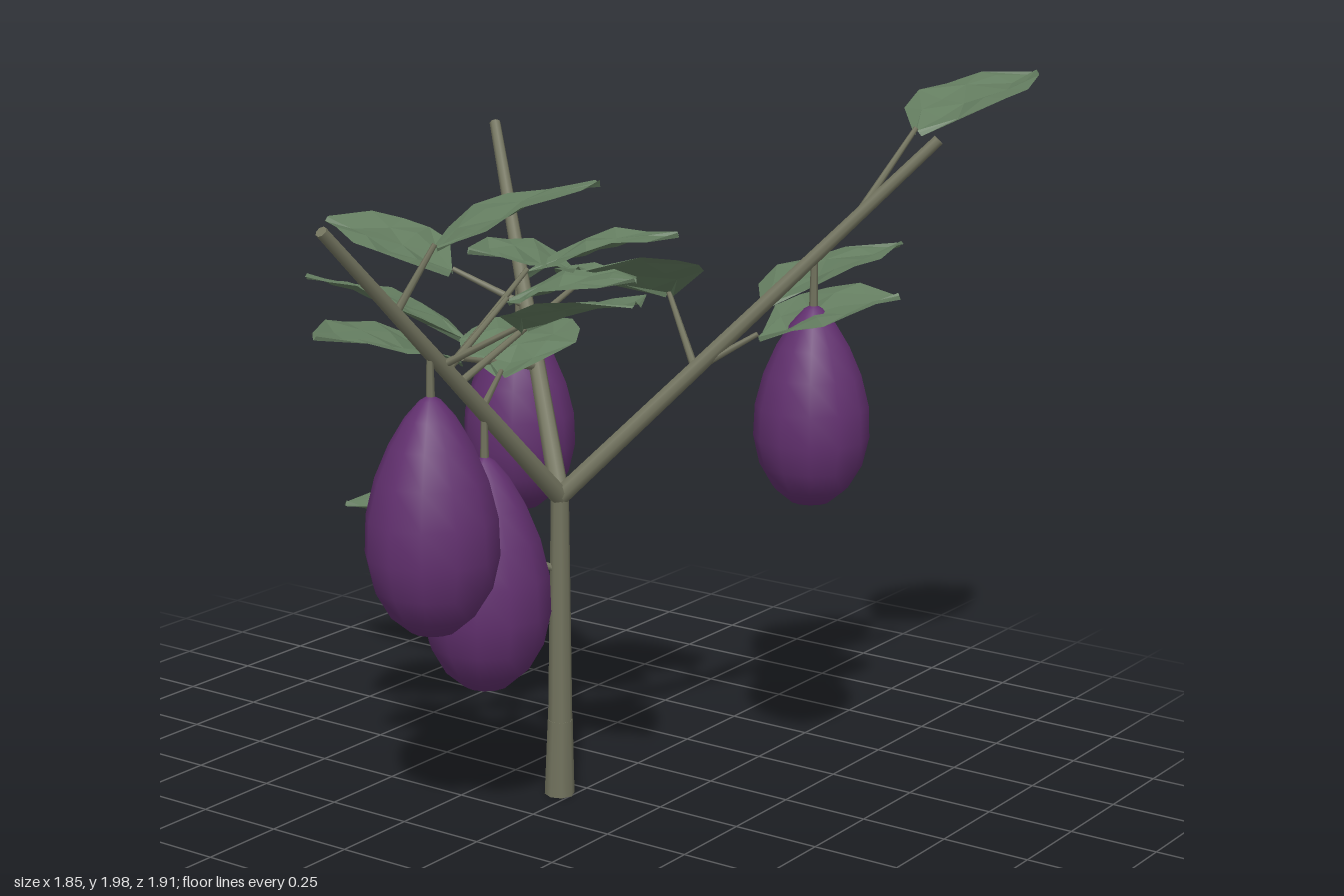
import * as THREE from 'three';

const V = (p) => new THREE.Vector3(...p);
const wood = new THREE.MeshStandardMaterial({ color: 0x73745f });
const fruitSkin = new THREE.MeshStandardMaterial({ color: 0x62306f });
const leafGreen = new THREE.MeshStandardMaterial({ color: 0x647d60, flatShading: true, side: THREE.DoubleSide });

// Tapered round stick between two points
function stick(name, a, b, r0, r1, sides = 8) {
  const d = b.clone().sub(a);
  const mesh = new THREE.Mesh(new THREE.CylinderGeometry(r1, r0, d.length(), sides), wood);
  mesh.position.copy(a).lerp(b, 0.5);
  mesh.quaternion.setFromUnitVectors(new THREE.Vector3(0, 1, 0), d.normalize());
  mesh.name = name;
  return mesh;
}

// Broad ovate blade: rows of five points from base to tip, slightly folded and rippled.
// tilt is the rise towards the right-hand edge, looking from base to tip.
function leafBlade(a, tip, tilt, width) {
  const rows = 5, pos = [], idx = [];
  const along = tip.clone().sub(a);
  const side = new THREE.Vector3(-along.z, 0, along.x).normalize().setY(tilt).normalize();
  const normal = side.clone().cross(along).normalize();
  for (let i = 0; i <= rows; i++) {
    const t = i / rows;
    const w = 0.08 + 0.92 * Math.pow(Math.abs(Math.sin(Math.PI * Math.pow(t, 0.85))), 0.7);
    for (let j = -2; j <= 2; j++) {
      const s = j / 2;
      const ripple = 0.009 * Math.sin(i * 2.3 + j * 1.7 + a.x * 20);
      const lift = 0.02 * Math.abs(s) * w + ripple + 0.02 * Math.sin(t * Math.PI) - 0.015;
      pos.push(...a.clone().addScaledVector(along, t)
        .addScaledVector(side, s * w * width / 2)
        .addScaledVector(normal, lift).toArray());
      if (i === rows || j === 2) continue;
      const k = i * 5 + j + 2;
      if ((i + j) % 2) idx.push(k, k + 1, k + 5, k + 1, k + 6, k + 5);
      else idx.push(k, k + 1, k + 6, k, k + 6, k + 5);
    }
  }
  const geo = new THREE.BufferGeometry();
  geo.setAttribute('position', new THREE.Float32BufferAttribute(pos, 3));
  geo.setIndex(idx);
  geo.computeVertexNormals();
  const mesh = new THREE.Mesh(geo, leafGreen);
  mesh.name = 'leafBlade';
  return mesh;
}

// Blade on a thin twig
function leaf(start, base, tip, tilt, width = 0.34) {
  const g = new THREE.Group();
  g.name = 'leaf';
  g.add(stick('leafTwig', start, V(base), 0.011, 0.007, 6), leafBlade(V(base), V(tip), tilt, width));
  return g;
}

// Plump teardrop hanging straight down from a point on a branch
function fruit(from, drop, length, radius) {
  const g = new THREE.Group();
  g.name = 'hangingFruit';
  const profile = [];
  for (let i = 0; i <= 10; i++) {
    const u = (1 - Math.cos(Math.PI * i / 10)) / 2;
    const r = Math.pow(Math.abs(Math.sin(Math.PI * Math.pow(u, 0.75))), 0.65);
    profile.push(new THREE.Vector2(r * radius, u * length));
  }
  const body = new THREE.Mesh(new THREE.LatheGeometry(profile, 12), fruitSkin);
  body.position.copy(from);
  body.position.y -= drop + length;
  body.name = 'fruitBody';
  const top = from.clone();
  top.y -= drop + 0.02;
  g.add(body, stick('fruitStalk', top, from, 0.012, 0.009, 6));
  return g;
}

// Branch from the fork; its fruits and leaves start at a fraction of its length
function branch(fork, tip, fruits, leaves) {
  const g = new THREE.Group();
  g.name = 'branch';
  const end = V(tip);
  const at = (t) => fork.clone().lerp(end, t);
  g.add(stick('branchStem', fork, end, 0.027, 0.016));
  fruits.forEach(([t, ...size]) => g.add(fruit(at(t), ...size)));
  leaves.forEach(([t, ...shape]) => g.add(leaf(at(t), ...shape)));
  return g;
}

export function createModel() {
  const model = new THREE.Group();
  model.name = 'fruitingSapling';
  const fork = V([-0.025, 0.86, 0.09]);

  // Trunk in two sections, with one low leaf
  model.add(
    stick('trunkBase', V([-0.037, 0, 0.078]), V([-0.03, 0.22, 0.084]), 0.042, 0.035),
    stick('trunk', V([-0.03, 0.21, 0.084]), fork, 0.034, 0.025),
    leaf(V([-0.03, 0.65, 0.09]), [-0.2, 0.77, 0.28], [-0.43, 0.88, 0.5], 0, 0.24));

  // Fruit: start, drop, length, radius. Leaf: start, base, tip, tilt, width.
  // Left branch
  model.add(branch(fork, [0.81, 1.84, -0.45], [[0.68, 0.126, 0.555, 0.157]], [
    [0.785, [0.69, 1.85, -0.54], [0.82, 1.98, -0.95], 0.05],
    [0.377, [0.36, 1.38, -0.31], [0.52, 1.5, -0.76], 0.15],
    [0.365, [0.43, 1.32, -0.18], [0.71, 1.43, -0.43], -0.05],
    [0.365, [0.12, 1.4, -0.21], [0.14, 1.54, 0.23], -0.2, 0.42],
  ]));
  // Right branch
  model.add(branch(fork, [-0.71, 1.75, -0.52], [[0.62, 0.16, 0.58, 0.163]], [
    [0.49, [-0.54, 1.4, -0.1], [-0.92, 1.53, -0.01], 0.05],
    [0.385, [-0.42, 1.24, 0], [-0.84, 1.4, 0.17], -0.2],
    [0.33, [-0.27, 1.23, 0.2], [-0.42, 1.36, 0.63], 0.1],
  ]));
  // Front branch
  model.add(branch(fork, [-0.12, 1.7, 0.94], [[0.57, 0.11, 0.65, 0.18], [0.34, 0.115, 0.65, 0.177]], [
    [0.35, [-0.2, 1.19, 0.12], [-0.32, 1.28, -0.23], 0.05],
    [0.45, [0.03, 1.47, 0.03], [-0.18, 1.56, 0.28], 0.1, 0.28],
    [0.5, [-0.08, 1.49, 0.16], [0.25, 1.6, -0.06], 0, 0.24],
    [0.5, [-0.04, 1.44, 0.3], [0.29, 1.52, 0.19], -0.1, 0.26],
    [0.71, [-0.03, 1.63, 0.61], [0.2, 1.77, 0.23], 0.12],
    [0.52, [0.14, 1.42, 0.47], [0.58, 1.56, 0.6], 0.05],
  ]));

  return model;
}
